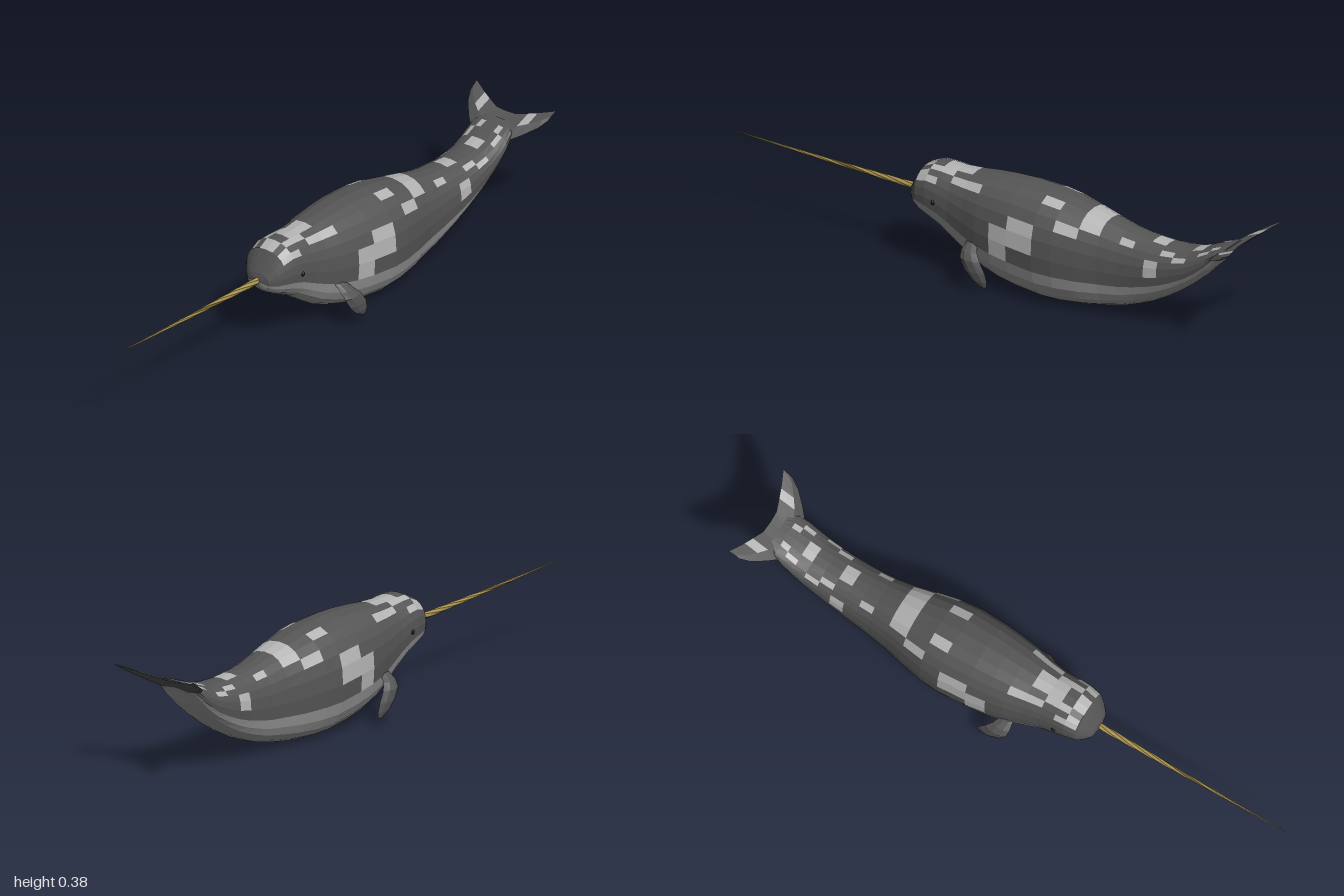
import * as THREE from 'three';

const COLORS = { skin: 0x555555, patch: 0xb4b4b4, belly: 0x9a9a9a, ivory: 0xa8924f, groove: 0x6e5c2c, eye: 0x222222 };

// Skin closed rings of points; pick(i, j) names the colour of each quad.
function loft(name, rings, pick) {
  const bins = {};
  const m = rings[0].length;
  for (let i = 0; i < rings.length - 1; i++) {
    for (let j = 0; j < m; j++) {
      const k = (j + 1) % m;
      const a = rings[i][j], b = rings[i + 1][j], c = rings[i][k], d = rings[i + 1][k];
      (bins[pick(i, j)] ??= []).push(...a, ...c, ...b, ...b, ...c, ...d);
    }
  }
  const group = new THREE.Group();
  group.name = name;
  for (const [key, positions] of Object.entries(bins)) {
    const geometry = new THREE.BufferGeometry();
    geometry.setAttribute('position', new THREE.Float32BufferAttribute(positions, 3));
    geometry.computeVertexNormals();
    const material = new THREE.MeshStandardMaterial({ color: COLORS[key], flatShading: true });
    const mesh = new THREE.Mesh(geometry, material);
    mesh.name = name + '_' + key;
    group.add(mesh);
  }
  return group;
}

// Body stations from snout to tail: x, bottom y, top y, half width
const STATIONS = [
  [-0.297, 0.243, 0.255, 0.012], [-0.29, 0.222, 0.275, 0.045], [-0.27, 0.203, 0.31, 0.068],
  [-0.25, 0.19, 0.343, 0.083], [-0.21, 0.17, 0.362, 0.09], [-0.17, 0.15, 0.363, 0.092],
  [-0.12, 0.115, 0.361, 0.094], [-0.06, 0.075, 0.364, 0.105], [0, 0.048, 0.37, 0.12],
  [0.06, 0.029, 0.374, 0.129], [0.13, 0.016, 0.375, 0.137], [0.23, 0.005, 0.369, 0.142],
  [0.3, 0.005, 0.36, 0.136], [0.38, 0.012, 0.341, 0.12], [0.45, 0.024, 0.324, 0.104],
  [0.52, 0.04, 0.307, 0.094], [0.57, 0.058, 0.299, 0.09], [0.62, 0.079, 0.294, 0.088],
  [0.67, 0.106, 0.29, 0.087], [0.72, 0.138, 0.291, 0.086], [0.77, 0.175, 0.296, 0.086],
  [0.81, 0.21, 0.308, 0.086], [0.85, 0.252, 0.325, 0.085], [0.88, 0.293, 0.335, 0.08],
  [0.91, 0.33, 0.342, 0.06],
];
const SIDES = 24;

// Pale mottling: station index -> strips counted from the top of the back
const PATCHES = {
  3: [0, 2, 3], 4: [1, 3], 5: [0, 1], 6: [0, 2], 7: [2], 9: [5, 6], 10: [4, 5], 11: [1],
  12: [3], 13: [0, 1, 2], 15: [2], 17: [0, 4, 5], 18: [2], 19: [3], 20: [0], 21: [2], 22: [1],
};

function createBody() {
  const soft = (v) => Math.sign(v) * Math.abs(v) ** 0.85;
  const rings = STATIONS.map(([x, low, high, w]) =>
    Array.from({ length: SIDES }, (_, j) => {
      const a = (j / SIDES) * Math.PI * 2;
      return [x, (low + high) / 2 + soft(Math.cos(a)) * (high - low) / 2, soft(Math.sin(a)) * w];
    }));
  // Close both ends on their centre
  const close = ([x, low, high]) => Array(SIDES).fill([x, (low + high) / 2, 0]);
  rings.push(close(STATIONS.at(-1)));
  rings.unshift(close(STATIONS[0]));
  return loft('body', rings, (i, j) => {
    const strip = Math.min(j, SIDES - 1 - j);
    if (strip > 6) return 'belly';
    return PATCHES[i - 1]?.includes(strip) ? 'patch' : 'skin';
  });
}

// Horizontal tail: z, leading x, trailing x, half thickness
function createFlukes() {
  const half = [
    [0, 0.84, 0.945, 0.012], [0.04, 0.845, 0.947, 0.013], [0.08, 0.865, 0.962, 0.012],
    [0.11, 0.892, 0.974, 0.009], [0.145, 0.93, 0.99, 0.006], [0.162, 0.962, 0.998, 0.003],
    [0.165, 0.999, 1, 0],
  ];
  const span = [...half.slice(1).reverse().map(([z, ...rest]) => [-z, ...rest]), ...half];
  const height = (x) => 0.295 + (x - 0.85) * 0.6;
  const rings = span.map(([z, x0, x1, t]) => {
    const mid = x0 + (x1 - x0) * 0.4;
    return [[x0, height(x0), z], [mid, height(mid) - t, z], [x1, height(x1), z], [mid, height(mid) + t, z]];
  });
  return loft('tailFlukes', rings, (i, j) => (j === 2 && (i === 3 || i === 8) ? 'patch' : 'skin'));
}

// Paddle flipper: y, front x, rear x, inner z, outer z
function createFlipper(name, side) {
  const sections = [
    [0.165, -0.035, 0.005, 0.095, 0.115], [0.142, -0.038, 0.022, 0.125, 0.146],
    [0.12, -0.034, 0.042, 0.14, 0.16], [0.085, -0.014, 0.064, 0.146, 0.162],
    [0.055, 0.014, 0.071, 0.148, 0.158], [0.036, 0.045, 0.066, 0.149, 0.152],
    [0.034, 0.055, 0.056, 0.15, 0.15],
  ];
  const rings = sections.map(([y, x0, x1, z0, z1]) => {
    const zm = (z0 + z1) / 2, xa = x0 * 0.7 + x1 * 0.3, xb = x0 * 0.3 + x1 * 0.7;
    const ring = [[x1, y, zm], [xb, y, z1], [xa, y, z1], [x0, y, zm], [xa, y, z0], [xb, y, z0]]
      .map(([x, h, z]) => [x, h, z * side]);
    return side < 0 ? ring.reverse() : ring;
  });
  return loft(name, rings, () => 'skin');
}

// Long tapering tusk with a spiral groove
function createTusk() {
  const steps = 36, sides = 6;
  const rings = Array.from({ length: steps + 1 }, (_, i) => {
    const t = i / steps;
    const radius = 0.001 + 0.011 * t;
    const y = 0.249 + 0.025 * (1 - t) ** 1.4;
    return Array.from({ length: sides }, (_, j) => {
      const a = (j / sides) * Math.PI * 2 + i * 0.3;
      return [-1 + 0.73 * t, y + Math.cos(a) * radius, Math.sin(a) * radius];
    });
  });
  return loft('tusk', rings, (i, j) => (j === 0 ? 'groove' : 'ivory'));
}

function createEye(name, side) {
  const eye = new THREE.Mesh(
    new THREE.SphereGeometry(0.009, 8, 6),
    new THREE.MeshStandardMaterial({ color: COLORS.eye, flatShading: true }));
  eye.name = name;
  eye.position.set(-0.175, 0.255, 0.088 * side);
  return eye;
}

export function createModel() {
  const model = new THREE.Group();
  model.name = 'narwhal';
  model.add(
    createBody(), createFlukes(), createTusk(),
    createFlipper('leftFlipper', 1), createFlipper('rightFlipper', -1),
    createEye('leftEye', 1), createEye('rightEye', -1));
  return model;
}
